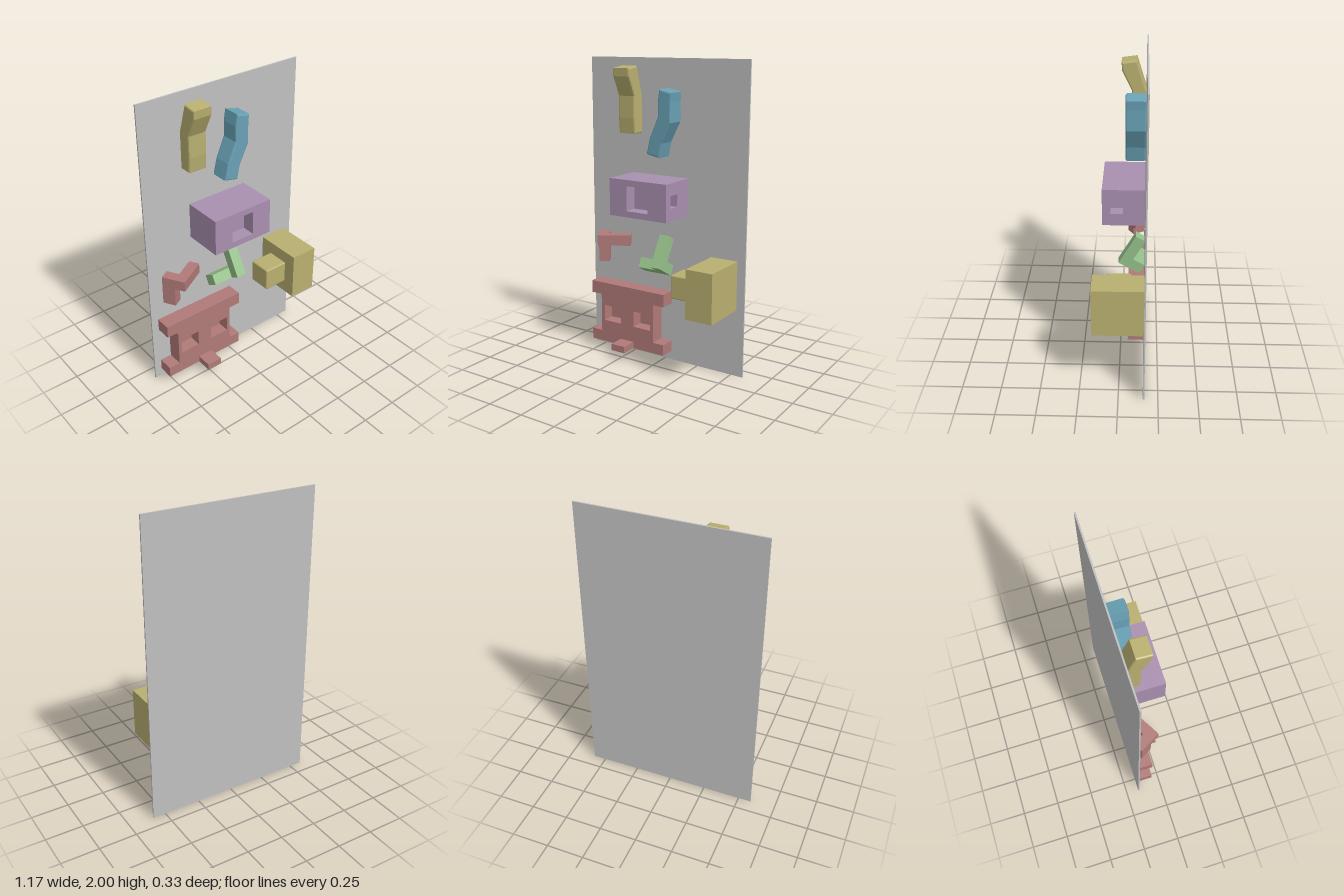
import * as THREE from 'three';
import { RoundedBoxGeometry } from 'three/addons/geometries/RoundedBoxGeometry.js';

const WALL = -0.155; // front face of the panel

const flat = (name, color) => {
  const m = new THREE.MeshStandardMaterial({ color });
  m.name = name;
  return m;
};

function createModel() {
  const grey = flat('panel grey', 0xc0c0c0);
  const yellow = flat('mustard yellow', 0xb9af70);
  const blue = flat('teal blue', 0x68a1b5);
  const purple = flat('dusty purple', 0xa98fb0);
  const red = flat('brick red', 0xb07a78);
  const green = flat('leaf green', 0x94bf88);

  const model = new THREE.Group();
  model.name = 'climbingWall';

  const group = (name, parent = model) => {
    const g = new THREE.Group();
    g.name = name;
    parent.add(g);
    return g;
  };
  const add = (parent, name, geometry, material) => {
    const mesh = new THREE.Mesh(geometry, material);
    mesh.name = name;
    parent.add(mesh);
    return mesh;
  };
  // box given by its extents along each axis
  const box = (parent, name, material, [x0, x1], [y0, y1], [z0, z1], radius = 0) => {
    const size = [x1 - x0, y1 - y0, z1 - z0];
    const geometry = radius
      ? new RoundedBoxGeometry(...size, 2, radius)
      : new THREE.BoxGeometry(...size);
    const mesh = add(parent, name, geometry, material);
    mesh.position.set((x0 + x1) / 2, (y0 + y1) / 2, (z0 + z1) / 2);
    return mesh;
  };
  const outline = (points) => new THREE.Shape(points.map(([x, y]) => new THREE.Vector2(x, y)));
  const rect = (x0, x1, y0, y1) => outline([[x0, y0], [x1, y0], [x1, y1], [x0, y1]]);
  const plate = (shape, z0, z1) =>
    new THREE.ExtrudeGeometry(shape, { depth: z1 - z0, bevelEnabled: false }).translate(0, 0, z0);
  // extrusion with softened rims, spanning 0..depth
  const softPlate = (shape, depth, r = 0.01) =>
    new THREE.ExtrudeGeometry(shape, {
      depth: depth - 2 * r, bevelThickness: r, bevelSize: r, bevelOffset: -r, bevelSegments: 2,
    }).translate(0, 0, r);

  // Backing panel
  box(model, 'panel', grey, [-0.585, 0.585], [0, 2], [-0.165, WALL]);

  // Bent blue bar, bending sideways
  const blueBar = add(model, 'bentBlueHold', softPlate(outline([
    [-0.07, 1.405], [0.025, 1.385], [0.045, 1.48], [0.11, 1.61], [0.11, 1.74],
    [0.115, 1.795], [0.025, 1.815], [0.013, 1.74], [0.013, 1.64], [-0.045, 1.51],
  ]), 0.125), blue);
  blueBar.position.z = WALL;

  // Bent yellow bar, leaning out from the panel (profile is drawn as -z, y)
  const yellowBar = add(model, 'bentYellowHold', softPlate(outline([
    [0, 1.937], [0.003, 1.885], [0.063, 1.76], [0.061, 1.62], [0.07, 1.52],
    [0.155, 1.52], [0.155, 1.76], [0.135, 1.82], [0.095, 1.95],
  ].reverse()), 0.125), yellow);
  yellowBar.rotation.y = Math.PI / 2;
  yellowBar.position.x = -0.305;

  // Purple block with a front pocket and a smaller side pocket
  const block = group('pocketBlock');
  const [y0, y1] = [1.015, 1.255];
  const front = rect(-0.255, 0.09, y0, y1);
  front.holes.push(rect(-0.125, 0.035, 1.055, 1.215));
  add(block, 'frontPocketFrame', plate(front, 0.02, 0.11), purple);
  box(block, 'blockBack', purple, [-0.255, 0.09], [y0, y1], [WALL, 0.02]);
  const side = rect(-0.11, -WALL, y0, y1);
  side.holes.push(rect(-0.06, 0.02, 1.095, 1.175));
  add(block, 'sidePocketFrame', plate(side, 0.09, 0.17), purple).rotation.y = Math.PI / 2;

  // Three-armed holds made of square bars, each tilted by 30 degrees
  const t = 0.07;
  const tilt = Math.PI / 6;
  const redArms = group('redArmHold');
  box(redArms, 'longArm', red, [0, 0.22], [0, t], [-t, 0]);
  box(redArms, 'wallArm', red, [0, t], [0, t], [-0.157, -t]);
  box(redArms, 'hangingArm', red, [0, t], [-0.13, 0], [-0.157, -t]);
  redArms.position.set(-0.43, 0.765, 0.017);
  redArms.rotation.y = tilt;

  const greenArms = group('greenArmHold');
  box(greenArms, 'longArm', green, [-t, 0], [0, 0.225], [-t, 0]);
  box(greenArms, 'wallArm', green, [-t, 0], [0, t], [-0.157, -t]);
  box(greenArms, 'sideArm', green, [-0.205, -t], [0, t], [-0.157, -t]);
  greenArms.position.set(0.06, 0.68, 0.013);
  greenArms.rotation.x = -tilt;

  // Large yellow box with a smaller one on its side
  const volume = group('yellowBoxHold');
  box(volume, 'largeBox', yellow, [0.345, 0.53], [0.445, 0.765], [WALL, 0.165]);
  box(volume, 'smallBox', yellow, [0.185, 0.355], [0.525, 0.68], [-0.075, 0.08], 0.01);

  // Red notched plate with two pockets and a foot ledge
  const notched = group('redPlateHold');
  const [l, r, wl, wr] = [-0.535, 0.05, -0.455, -0.03];
  const plan = [
    [l, 0.06], [r, 0.06], [r, 0.135], [wr, 0.135], [wr, 0.4], [r, 0.4],
    [r, 0.485], [l, 0.485], [l, 0.4], [wl, 0.4], [wl, 0.135], [l, 0.135],
  ];
  const face = outline(plan);
  for (const x of [-0.43, -0.19]) face.holes.push(rect(x, x + 0.136, 0.215, 0.325));
  add(notched, 'pocketPlate', plate(face, -0.135, -0.05), red);
  add(notched, 'plateBack', plate(outline(plan), WALL, -0.135), red);
  box(notched, 'footLedge', red, [-0.295, -0.19], [0.06, 0.105], [-0.05, 0.058]);

  return model;
}

export { createModel };
